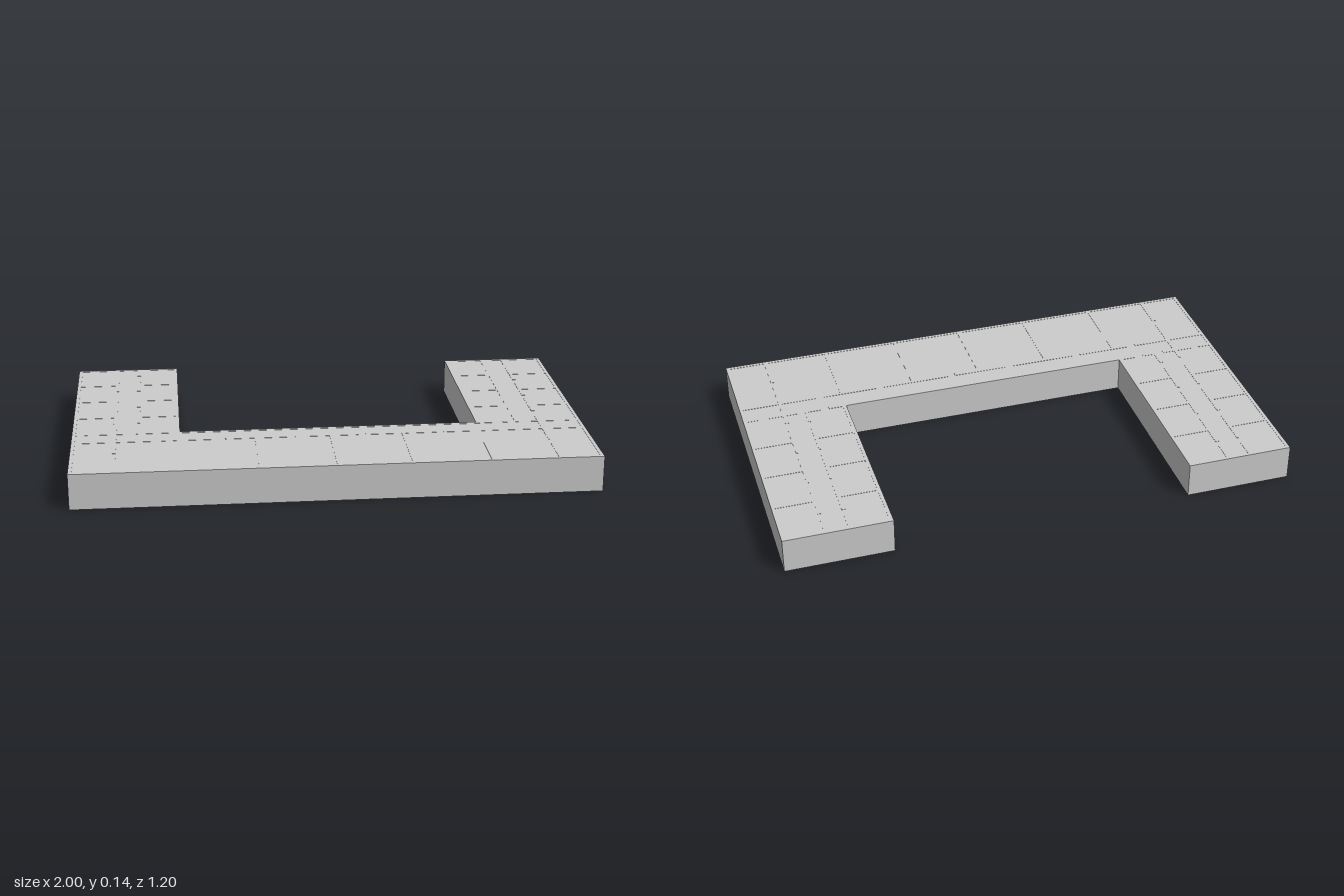
import * as THREE from 'three';

const H = 0.14;          // overall height
const T = 0.014;         // wall thickness
const mat = new THREE.MeshStandardMaterial({ color: 0xcccccc, side: THREE.DoubleSide });

function addBox(parent, name, x0, x1, z0, z1, y0 = 0, y1 = H) {
  const mesh = new THREE.Mesh(new THREE.BoxGeometry(x1 - x0, y1 - y0, z1 - z0), mat);
  mesh.position.set((x0 + x1) / 2, (y0 + y1) / 2, (z0 + z1) / 2);
  mesh.name = name;
  parent.add(mesh);
}
// Wall running along x, or along z, centred on its line
const wallX = (g, name, z, x0, x1) => addBox(g, name, x0, x1, z - T / 2, z + T / 2);
const wallZ = (g, name, x, z0, z1) => addBox(g, name, x - T / 2, x + T / 2, z0, z1);

export function createModel() {
  const model = new THREE.Group();
  model.name = 'courtyardBuilding';
  const inX = 0.583, inZ = 0.185;

  // Flat roof over the U-shaped plan, just below the wall tops
  const plan = new THREE.Shape();
  [[-1, -0.6], [-inX, -0.6], [-inX, inZ], [inX, inZ], [inX, -0.6], [1, -0.6], [1, 0.6], [-1, 0.6]]
    .forEach(([x, z], i) => (i ? plan.lineTo(x, -z) : plan.moveTo(x, -z)));
  const roofGeo = new THREE.ExtrudeGeometry(plan, { depth: 0.003, bevelEnabled: false });
  roofGeo.rotateX(-Math.PI / 2);
  const roof = new THREE.Mesh(roofGeo, mat);
  roof.name = 'roof';
  roof.position.y = H - 0.004;
  model.add(roof);

  // Front and courtyard walls
  const outer = new THREE.Group();
  outer.name = 'outerWalls';
  model.add(outer);
  wallX(outer, 'frontWall', 0.6 - T / 2, -1, 1);
  wallX(outer, 'courtyardWall', inZ + T / 2, -inX - T, inX + T);

  // Each wing: outer walls, corridor walls with door gaps, room partitions
  for (const s of [-1, 1]) {
    const wing = new THREE.Group();
    wing.name = s < 0 ? 'rightWing' : 'leftWing';
    model.add(wing);
    const spanX = (name, z, a, b) => wallX(wing, name, z, Math.min(s * a, s * b), Math.max(s * a, s * b));
    wallZ(wing, 'sideWall', s * (1 - T / 2), -0.6, 0.6);
    wallZ(wing, 'courtyardSideWall', s * (inX + T / 2), -0.6, inZ + T);
    spanX('endWall', -0.6 + T / 2, inX, 1);

    const outerX = 0.835, innerX = 0.745;
    for (const [a, b] of [[-0.6, -0.51], [-0.48, -0.315], [-0.28, -0.115], [-0.08, 0.075]]) {
      wallZ(wing, 'corridorWall', s * outerX, a, b);
      wallZ(wing, 'corridorWall', s * innerX, a, b);
    }
    for (const [a, b] of [[0.13, 0.4], [0.435, 0.6]]) wallZ(wing, 'corridorWall', s * outerX, a, b);
    for (const z of [-0.395, -0.197, 0]) {
      spanX('roomPartition', z, outerX, 1);
      spanX('roomPartition', z, inX, innerX);
    }
    // Corner of the corridor where the wing meets the front range
    wallZ(wing, 'cornerWall', s * innerX, 0.115, 0.197);
    spanX('cornerWall', 0.19, 0.69, innerX + T / 2);
    spanX('cornerWall', 0.19, inX, 0.655);
    spanX('roomPartition', 0.19, 0.78, 0.905);
    spanX('roomPartition', 0.19, 0.94, 1);
  }

  // Front range: corridor wall with doors, and rooms behind the front wall
  const range = new THREE.Group();
  range.name = 'frontRange';
  model.add(range);
  for (const [a, b] of [[-1, -0.685], [-0.655, -0.44], [-0.41, -0.14], [-0.11, 0.105],
    [0.135, 0.41], [0.44, 0.655], [0.685, 1]]) wallX(range, 'corridorWall', 0.277, a, b);
  for (const x of [-0.59, -0.29, 0, 0.282, 0.58]) wallZ(range, 'roomPartition', x, 0.277, 0.6);

  return model;
}
